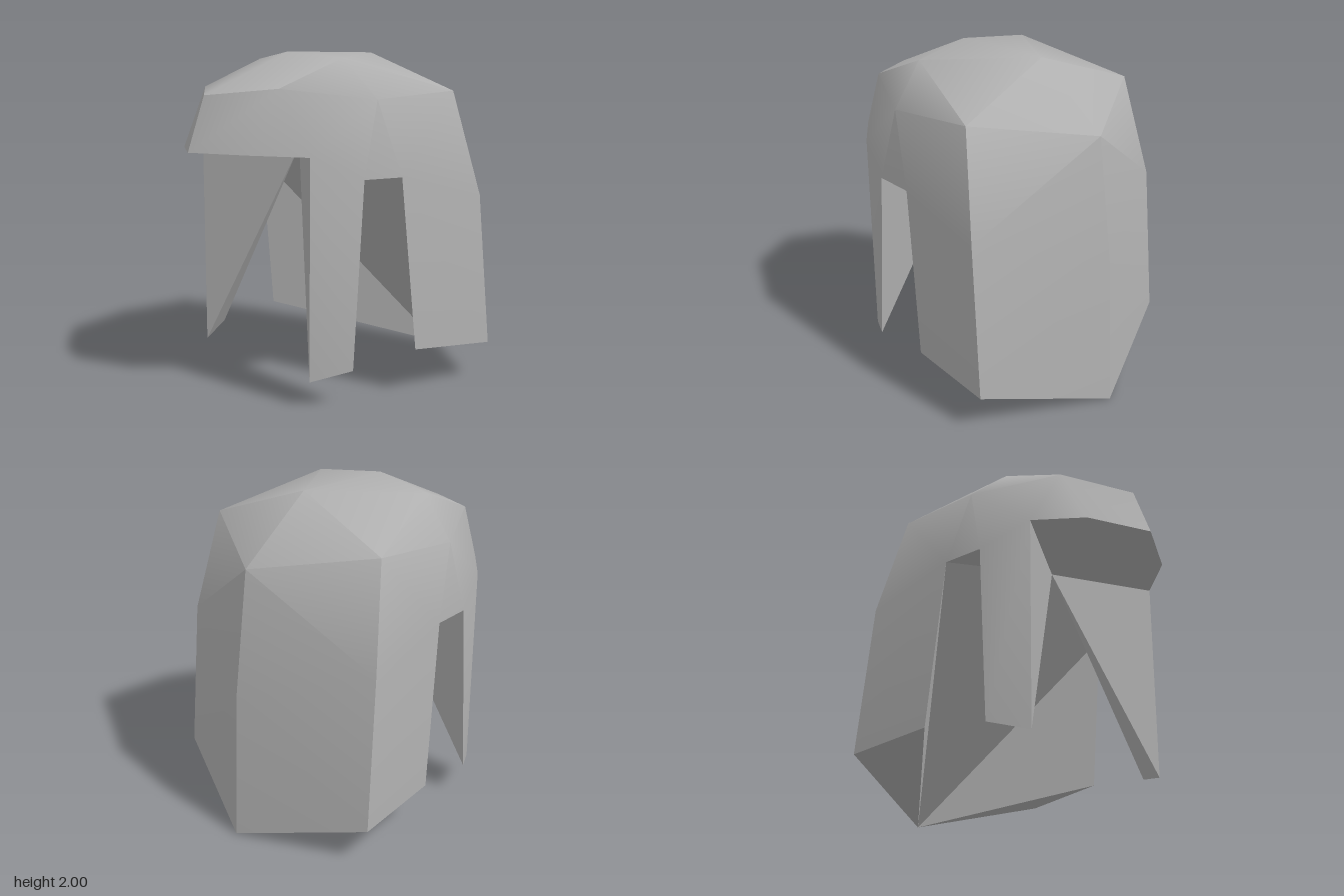
import * as THREE from 'three';
import { toCreasedNormals } from 'three/addons/utils/BufferGeometryUtils.js';

// Corner points of the left half; x = 0 lies on the centre line
const P = {
  browLow0: [0, 1.43, 0.97], browLow1: [0.37, 1.43, 0.79], browLow2: [0.58, 1.42, 0.54],
  browTop0: [0, 1.75, 0.86], browTop1: [0.4, 1.79, 0.62],
  crown0: [0, 2, 0.28], crown1: [0.43, 1.96, 0.2], crownBack: [0, 2, -0.36],
  temple: [0.67, 1.73, 0.14], sideTop: [0.67, 1.77, -0.44],
  cheekFront: [0.57, 0.15, 0.54], cheekBack: [0.7, 0.21, 0.33],
  notchFront: [0.7, 1.29, 0.255], notchBack: [0.725, 1.29, 0],
  guardFront: [0.745, 0.27, -0.1], guardCorner: [0.79, 0.23, -0.66], guardMid: [0.77, 1.15, -0.58],
  napeTop: [0, 1.64, -0.81], napeMid: [0, 0.88, -0.92], napeTip: [0, 0, -0.97],
  innerPeak: [0, 1.43, 0.2],
};

const BROW = [
  'browLow0 browLow1 browTop1 browTop0',
  'browLow1 browLow2 browTop1',
  'browLow2 temple browTop1',
];
const CROWN = [
  'browTop0 browTop1 crown1 crown0',
  'browTop1 temple crown1',
  'crown0 crown1 crownBack',
  'crown1 temple sideTop',
  'crown1 sideTop crownBack',
  'crownBack sideTop napeTop',
];
const SIDES = [
  'browLow2 cheekFront cheekBack notchFront',
  'browLow2 notchFront temple',
  'temple notchFront notchBack',
  'temple notchBack sideTop',
  'sideTop notchBack guardMid',
  'notchBack guardFront guardCorner guardMid',
];
const NAPE = [
  'guardMid guardCorner napeMid',
  'guardCorner napeTip napeMid',
  'guardMid napeMid napeTop',
  'sideTop guardMid napeTop',
];
const LINING = [
  'guardFront napeTip guardCorner',
  'napeTip guardFront notchBack',
  'napeTip notchBack innerPeak',
  'innerPeak notchBack notchFront',
  'innerPeak notchFront cheekBack',
  'innerPeak cheekBack cheekFront',
  'innerPeak cheekFront browLow2',
  'innerPeak browLow2 browLow1',
  'innerPeak browLow1 browLow0',
];

// Fans each face into triangles and adds its mirror image
function mirroredGeometry(faces) {
  const pos = [];
  for (const face of faces) {
    const c = face.split(' ').map((name) => P[name]);
    for (let i = 1; i < c.length - 1; i++) {
      pos.push(...c[0], ...c[i], ...c[i + 1]);
      for (const [x, y, z] of [c[0], c[i + 1], c[i]]) pos.push(-x, y, z);
    }
  }
  const geometry = new THREE.BufferGeometry();
  geometry.setAttribute('position', new THREE.Float32BufferAttribute(pos, 3));
  geometry.computeVertexNormals();
  return geometry;
}

export function createModel() {
  const group = new THREE.Group();
  group.name = 'helmet';
  const steel = new THREE.MeshStandardMaterial({ color: 0xb0b0b0 });
  steel.name = 'steel grey';

  const add = (name, geometry) => {
    const mesh = new THREE.Mesh(geometry, steel);
    mesh.name = name;
    group.add(mesh);
  };

  // Smooth outer dome, with creases at the brow, nape and guard corners
  add('shell', toCreasedNormals(mirroredGeometry([...BROW, ...CROWN, ...SIDES, ...NAPE]), 0.7));
  // Faceted inside and lower rim
  add('lining', mirroredGeometry(LINING));
  return group;
}
